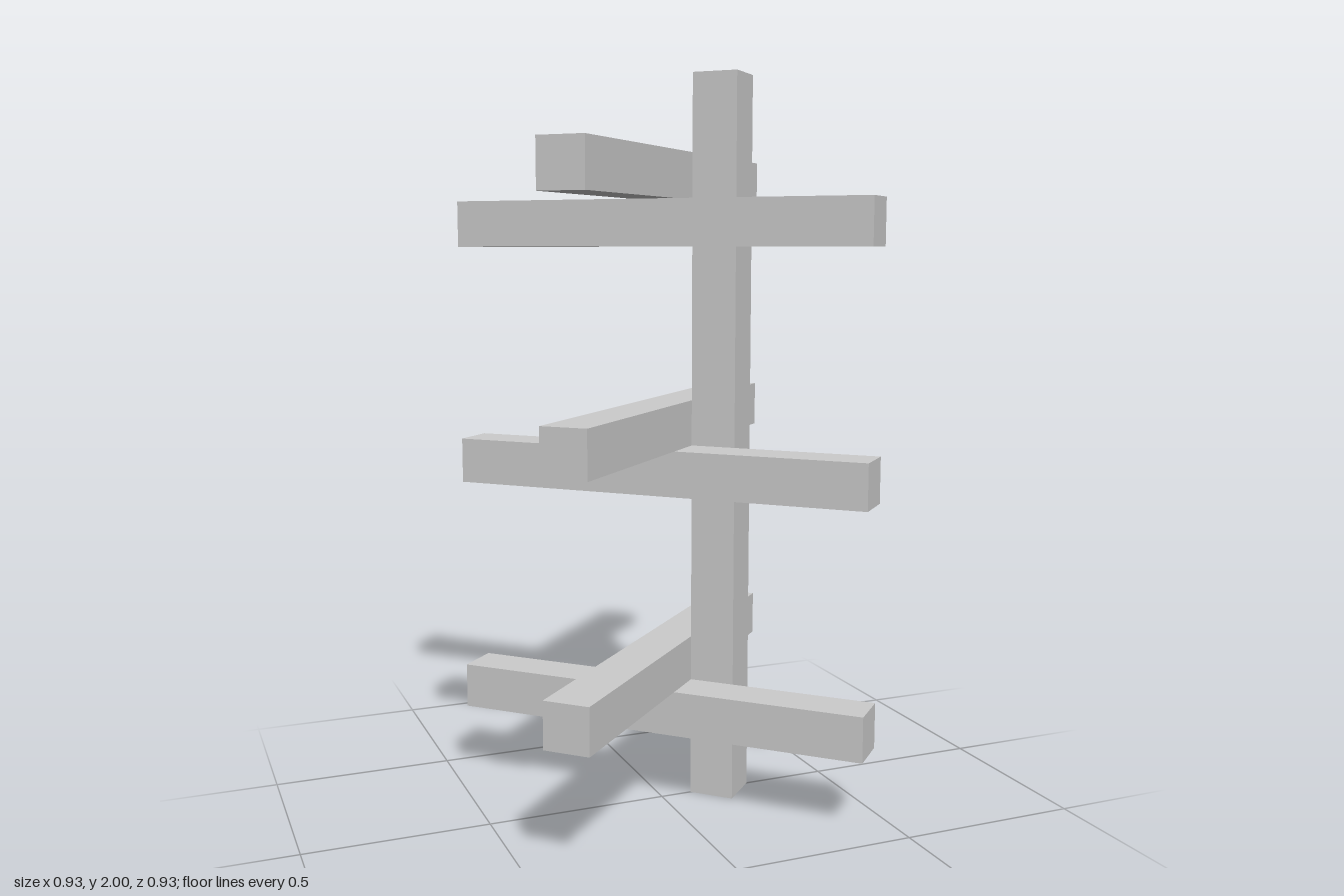
import * as THREE from 'three';

// Six-piece burr structure: an upright post with three pairs of crossed bars
export function createModel() {
  const group = new THREE.Group();
  const material = new THREE.MeshStandardMaterial({ color: 0xcccccc, flatShading: true });
  const side = 0.125;               // square section of every beam
  const barLength = 1.185;
  const offset = side * Math.SQRT2; // post nests in the corner of the crossed bars

  const addBeam = (name, w, h, x, y, turn) => {
    const mesh = new THREE.Mesh(new THREE.BoxGeometry(w, h, side), material);
    mesh.name = name;
    mesh.position.set(x, y, 0);
    mesh.rotation.y = turn;
    group.add(mesh);
  };

  // Upright, turned 45 degrees
  addBeam('post', side, 2, offset, 1, Math.PI / 4);

  // Each tier: one bar resting across another
  [1 / 3, 1, 5 / 3].forEach((y, i) => {
    addBeam(`lowerBar${i + 1}`, barLength, side, 0, y - side / 2, -Math.PI / 4);
    addBeam(`upperBar${i + 1}`, barLength, side, 0, y + side / 2, Math.PI / 4);
  });

  return group;
}
